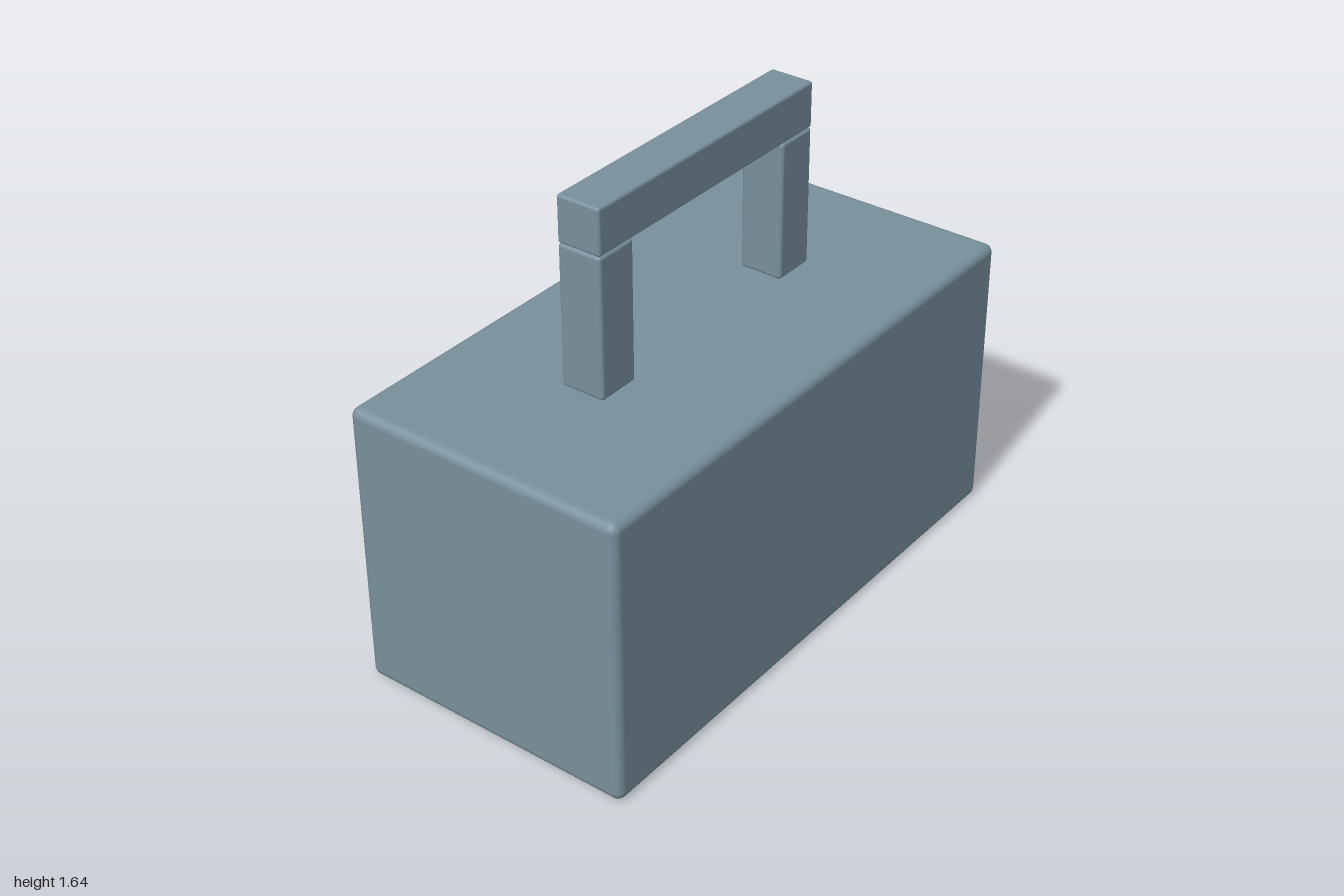
import * as THREE from 'three';
import { RoundedBoxGeometry } from 'three/addons/geometries/RoundedBoxGeometry.js';

export function createModel() {
  const model = new THREE.Group();
  model.name = 'toolbox';
  const blueGrey = new THREE.MeshStandardMaterial({ color: 0x78909c });
  blueGrey.name = 'blueGrey';

  // Rounded block standing on height y
  function block(name, [w, h, d], radius, x, y, parent) {
    const mesh = new THREE.Mesh(new RoundedBoxGeometry(w, h, d, 3, radius), blueGrey);
    mesh.name = name;
    mesh.position.set(x, y + h / 2, 0);
    parent.add(mesh);
  }

  // Box body
  block('body', [2, 1, 1], 0.03, 0, 0, model);

  // Carrying handle: two posts and a grip bar
  const handle = new THREE.Group();
  handle.name = 'handle';
  model.add(handle);
  for (const [name, side] of [['leftPost', 1], ['rightPost', -1]]) {
    block(name, [0.156, 0.484, 0.156], 0.012, side * 0.449, 1, handle);
  }
  block('gripBar', [1.054, 0.158, 0.156], 0.01, 0, 1.484, handle);

  return model;
}
